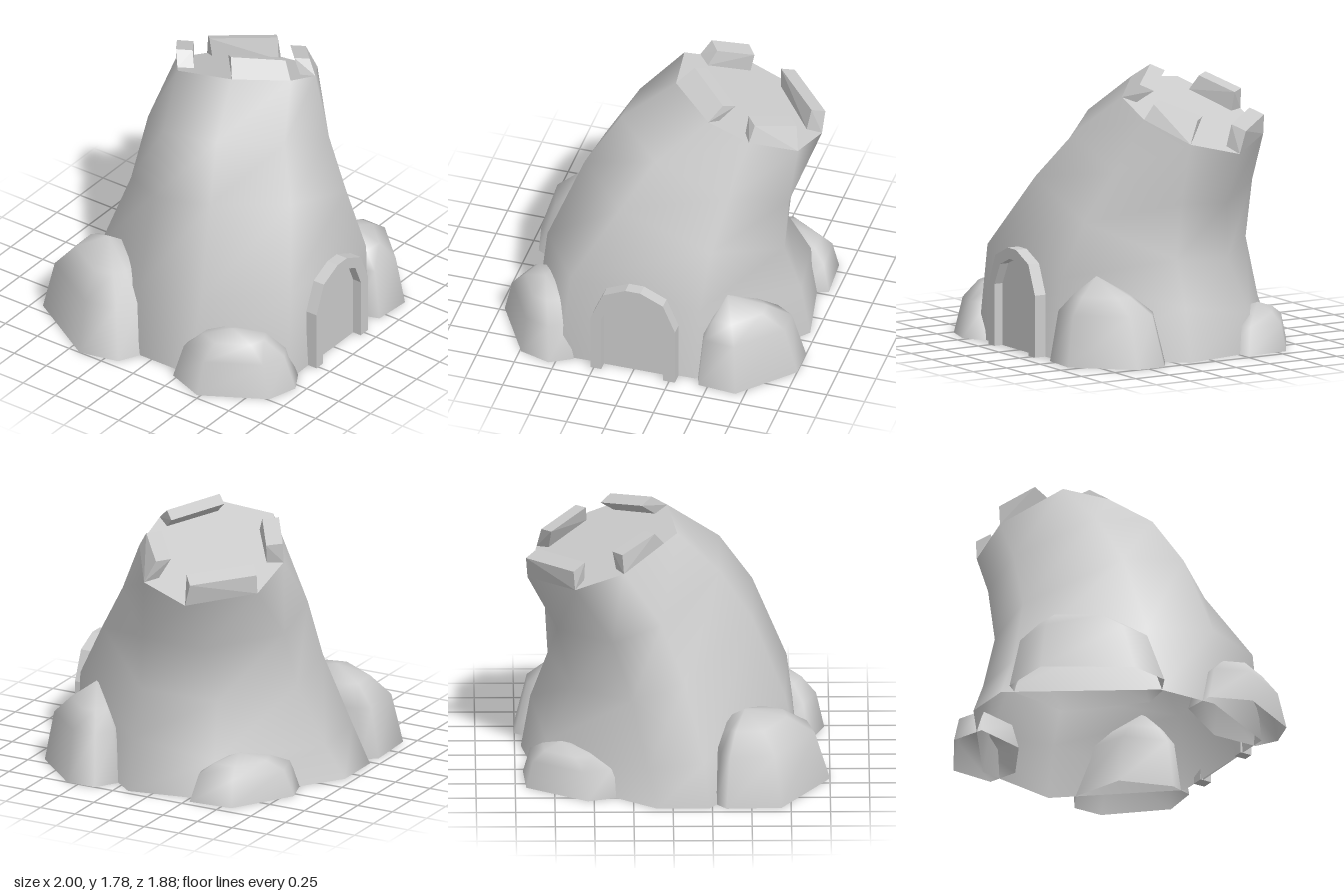
import * as THREE from 'three';
import { mergeVertices } from 'three/addons/utils/BufferGeometryUtils.js';
import { ConvexGeometry } from 'three/addons/geometries/ConvexGeometry.js';

const smooth = new THREE.MeshStandardMaterial({ color: 0xcccccc, side: THREE.DoubleSide });
const flat = new THREE.MeshStandardMaterial({ color: 0xcccccc, side: THREE.DoubleSide, flatShading: true });
const V = (x, y, z) => new THREE.Vector3(x, y, z);

// Smooth skin through closed rings of equal point count, lowest ring first
function loft(rings) {
  const n = rings[0].length, index = [];
  for (let r = 0; r < rings.length - 1; r++) {
    for (let k = 0; k < n; k++) {
      const a = r * n + k, c = r * n + (k + 1) % n;
      index.push(a, a + n, c, c, a + n, c + n);
    }
  }
  let g = new THREE.BufferGeometry().setFromPoints(rings.flat());
  g.setIndex(index);
  g = mergeVertices(g);
  g.computeVertexNormals();
  return g;
}

// Plan outline laid on the sloping plane y = a + b x + c z
const tilted = (a, b, c, plan) => plan.map(([x, z]) => V(x, a + b * x + c * z, z));

// Boulder: ground outline, two rounding rings and a single peak
function boulder(outline, peak, roundness) {
  const base = outline.map(([x, z]) => V(x, 0, z));
  const ring = (t, h) => base.map(p => p.clone().lerp(peak, t).setY(peak.y * h));
  return loft([base, ring(0.18, 0.6), ring(0.5, roundness), ring(1, 1)]);
}

export function createModel() {
  const group = new THREE.Group();
  const add = (name, geometry, material) => {
    const mesh = new THREE.Mesh(geometry, material);
    mesh.name = name;
    group.add(mesh);
    return mesh;
  };

  // Leaning tower wall: eight-sided rings, each tilted more than the one below
  const rings = [
    tilted(0, 0, 0, [[0.96, 0.16], [0.4, 0.83], [-0.49, 0.85], [-0.8, 0.3], [-0.8, -0.1], [-0.23, -0.94], [0.1, -0.94], [0.85, -0.4]]),
    tilted(0.405, -0.105, 0.2, [[0.9, 0.16], [0.42, 0.8], [-0.43, 0.82], [-0.73, 0.34], [-0.72, -0.15], [-0.2, -0.83], [0.16, -0.83], [0.8, -0.38]]),
    tilted(0.874, -0.346, 0.23, [[0.79, 0.16], [0.44, 0.63], [-0.16, 0.63], [-0.51, 0.25], [-0.51, -0.2], [-0.08, -0.68], [0.26, -0.68], [0.64, -0.31]]),
    tilted(1.29, -0.393, 0.19, [[0.81, 0.14], [0.5, 0.45], [0.02, 0.45], [-0.3, 0.15], [-0.3, -0.27], [0.07, -0.655], [0.38, -0.655], [0.73, -0.25]]),
    tilted(1.7, -0.385, 0.18, [[0.86, 0.1], [0.59, 0.28], [0.32, 0.28], [0.03, 0.03], [-0.03, -0.35], [0.31, -0.61], [0.62, -0.59], [0.92, -0.23]]),
  ];
  add('towerWall', loft(rings), smooth);

  // Tilted roof floor
  const rim = rings[4];
  const centre = rim.reduce((s, p) => s.add(p), V(0, 0, 0)).multiplyScalar(1 / 8);
  add('roofFloor', loft([rim, rim.map(() => centre.clone())]), flat);

  // Battlement blocks: rim corner, next corner, and the outer top edge above them
  const blocks = [
    [rim[0], rim[1], V(0.83, 1.53, 0.03), V(0.61, 1.62, 0.22)],
    [rim[2], rim[3], V(0.39, 1.71, 0.19), V(0.13, 1.78, -0.05)],
    [rim[4].clone().lerp(rim[5], 0.25), rim[5], V(0.115, 1.69, -0.47), V(0.32, 1.6, -0.61)],
    [rim[6], rim[7], V(0.63, 1.48, -0.59), V(0.93, 1.45, -0.27)],
  ];
  for (const [a, b, topA, topB] of blocks) {
    const mid = a.clone().add(b).multiplyScalar(0.5);
    const inward = centre.clone().sub(mid).multiplyScalar(0.23);
    const points = [a, b, topA, topB, topA.clone().add(inward), topB.clone().add(inward)];
    for (const p of [a, b]) points.push(p.clone().lerp(mid, 0.1).add(inward));
    add('battlement', new ConvexGeometry(points), flat);
  }

  // Arched door frame and door panel
  const outer = [[-0.27, 0], [-0.27, 0.4], [-0.19, 0.59], [-0.04, 0.66], [0.06, 0.66], [0.21, 0.59], [0.29, 0.4], [0.29, 0]];
  const inner = [[-0.2, 0], [-0.2, 0.4], [-0.13, 0.54], [-0.02, 0.59], [0.04, 0.59], [0.15, 0.54], [0.21, 0.4], [0.21, 0]];
  const toVec2 = list => list.map(([x, y]) => new THREE.Vector2(x, y));
  const arch = new THREE.Shape(toVec2([...outer, ...inner.slice().reverse()]));
  const frame = add('doorFrame', new THREE.ExtrudeGeometry(arch, { depth: 0.08, bevelEnabled: false }), flat);
  frame.position.z = 0.83;
  const door = add('doorPanel', new THREE.ShapeGeometry(new THREE.Shape(toVec2(inner))), flat);
  door.position.z = 0.85;

  // Four boulders around the foot
  add('frontLeftBoulder', boulder(
    [[1, 0.38], [1, 0.58], [0.69, 0.91], [0.44, 0.89], [0.39, 0.74], [0.5, 0.4], [0.86, 0.29]],
    V(0.55, 0.54, 0.61), 0.79), smooth);
  add('frontRightBoulder', boulder(
    [[-0.4, 0.86], [-0.54, 0.94], [-0.74, 0.88], [-0.97, 0.48], [-0.87, 0.22], [-0.65, 0.2], [-0.4, 0.55]],
    V(-0.68, 0.38, 0.55), 0.87), smooth);
  add('backRightBoulder', boulder(
    [[-0.2, -0.45], [-0.6, -0.06], [-0.78, -0.08], [-0.94, -0.16], [-1, -0.42], [-0.69, -0.93], [-0.34, -0.945], [-0.27, -0.86]],
    V(-0.46, 0.54, -0.58), 0.84), smooth);
  add('backLeftBoulder', boulder(
    [[0.95, -0.28], [0.75, -0.22], [0.42, -0.4], [0.32, -0.74], [0.54, -0.81], [0.93, -0.57]],
    V(0.7, 0.29, -0.5), 0.82), smooth);

  return group;
}
